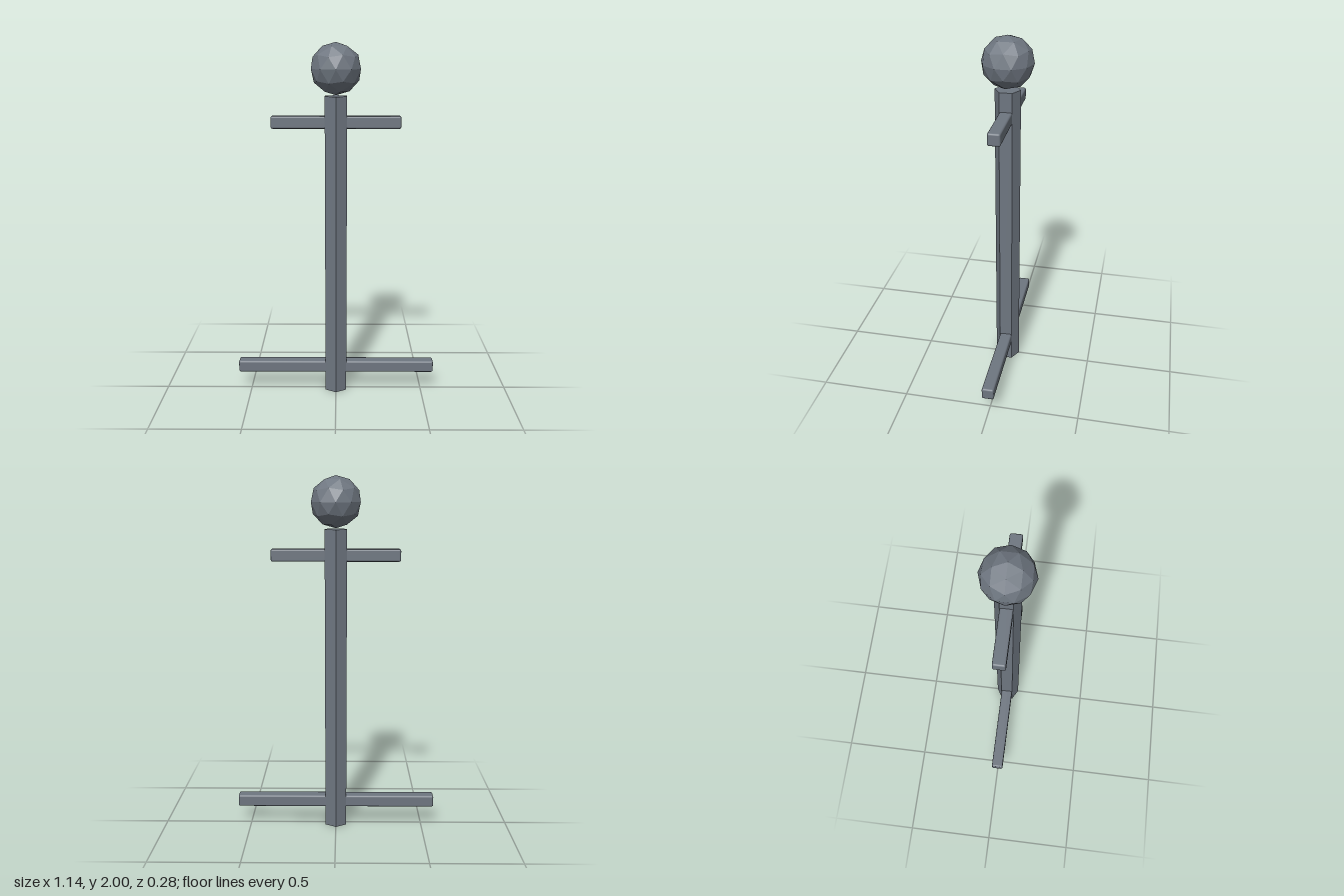
import * as THREE from 'three';
import { RoundedBoxGeometry } from 'three/addons/geometries/RoundedBoxGeometry.js';

export function createModel() {
  const model = new THREE.Group();
  model.name = 'signalPost';

  const slateGrey = new THREE.MeshStandardMaterial({ color: 0x6e7680 });
  slateGrey.name = 'slateGrey';

  const add = (name, geometry, y) => {
    const mesh = new THREE.Mesh(geometry, slateGrey);
    mesh.name = name;
    mesh.position.y = y;
    model.add(mesh);
  };
  // Gives every facet its own normals
  const faceted = (geometry) => {
    const flat = geometry.index ? geometry.toNonIndexed() : geometry;
    flat.computeVertexNormals();
    return flat;
  };

  // Hexagonal upright, one edge facing forward
  const postHeight = 1.715;
  add('post', faceted(new THREE.CylinderGeometry(0.07, 0.07, postHeight, 6)), postHeight / 2);

  // Crossbars with softened edges
  const bar = (length) => new RoundedBoxGeometry(length, 0.068, 0.068, 2, 0.01);
  add('upperCrossbar', bar(0.71), 1.575);
  add('lowerCrossbar', bar(1.14), 0.145);

  // Faceted ball, turned so a vertex points straight up
  const ball = new THREE.IcosahedronGeometry(0.14, 1);
  ball.rotateZ(Math.atan(2 / (1 + Math.sqrt(5))));
  add('ball', faceted(ball), 1.86);

  return model;
}
